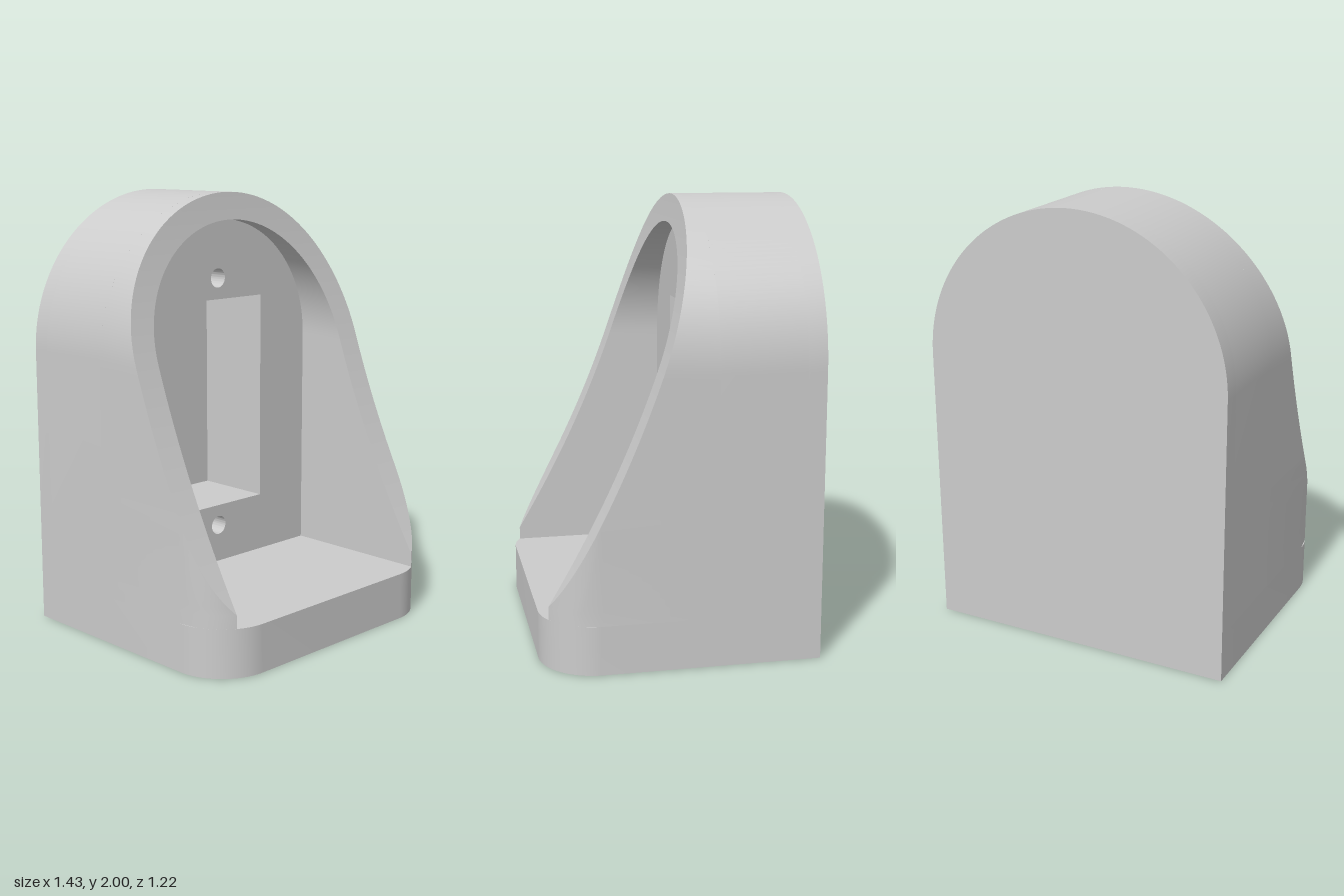
import * as THREE from 'three';
import { toCreasedNormals } from 'three/addons/utils/BufferGeometryUtils.js';

const OUTER = 0.715, INNER = 0.59;        // half widths, also the arch radii
const ARCH_Y = 1.285, FLOOR_Y = 0.22;     // arch centre and recess floor
const BACK = -0.61, FRONT = 0.61;
const PANEL = -0.145, POCKET = -0.525;    // recess back panel and pocket bottom
const CORNER = 0.25;                      // rounded front corners in plan
const CX = OUTER - CORNER, CZ = FRONT - CORNER;

const material = new THREE.MeshStandardMaterial({ color: 0xcccccc });

// Swept front edge of the side walls, as seen from the side
const sweepZ = (y) => 0.577 - 0.509 * (y - 0.28) + 0.127 * (y - 0.28) * (y - 1.02);
// Front of the rounded plan corner at distance r from the middle
const cornerZ = (r) => CZ + Math.sqrt(Math.max(0, CORNER ** 2 - Math.max(0, r - CX) ** 2));

function addMesh(group, name, geometry) {
  const mesh = new THREE.Mesh(toCreasedNormals(geometry, 0.5), material);
  mesh.name = name;
  group.add(mesh);
}

function archShape() {
  const s = new THREE.Shape();
  s.moveTo(-OUTER, FLOOR_Y);
  s.lineTo(OUTER, FLOOR_Y);
  s.lineTo(OUTER, ARCH_Y);
  s.absarc(0, ARCH_Y, OUTER, 0, Math.PI, false);
  s.closePath();
  return s;
}

function slab(shape, z0, z1) {
  return new THREE.ExtrudeGeometry(shape, { depth: z1 - z0, bevelEnabled: false, curveSegments: 48 })
    .translate(0, 0, z0);
}

// Base block: plan outline with rounded front corners, extruded upwards
function baseGeometry() {
  const s = new THREE.Shape();
  s.moveTo(-OUTER, -BACK);
  s.lineTo(-OUTER, -CZ);
  s.absarc(-CX, -CZ, CORNER, Math.PI, Math.PI * 1.5, false);
  s.absarc(CX, -CZ, CORNER, Math.PI * 1.5, Math.PI * 2, false);
  s.lineTo(OUTER, -BACK);
  s.closePath();
  return new THREE.ExtrudeGeometry(s, { depth: FLOOR_Y, bevelEnabled: false, curveSegments: 20 })
    .rotateX(-Math.PI / 2);
}

// Hood: wall cross-sections carried up one side, over the arch and down the other
function hoodGeometry() {
  const stations = [];                    // centre height and outward direction
  const heights = [FLOOR_Y, 0.28];
  for (let i = 1; i <= 28; i++) heights.push(0.28 + (ARCH_Y - 0.28) * i / 28);
  heights.forEach((y) => stations.push([y, 1, 0]));
  for (let i = 1; i < 64; i++) {
    const a = Math.PI * i / 64;
    stations.push([ARCH_Y, Math.cos(a), Math.sin(a)]);
  }
  heights.reverse().forEach((y) => stations.push([y, -1, 0]));

  const HALF = 8;
  const rings = stations.map(([cy, dx, dy]) => {
    const at = (r, z) => new THREE.Vector3(r * dx, cy + r * dy, z);
    const front = (r) => at(r, Math.min(sweepZ(cy + r * dy), cornerZ(r)));
    // Where the sweep meets the rounded corner, so the crease stays crisp
    const dz = Math.max(0, sweepZ(cy) - CZ);
    const crease = Math.max(INNER, CX + Math.sqrt(Math.max(0, CORNER ** 2 - dz ** 2)));
    const ring = [at(INNER, PANEL)];
    for (let k = 0; k <= HALF; k++) ring.push(front(INNER + (crease - INNER) * k / HALF));
    for (let k = 1; k <= HALF; k++) ring.push(front(crease + (OUTER - crease) * k / HALF));
    ring.push(at(OUTER, PANEL));
    return ring;
  });

  const points = [];
  const tri = (a, b, c) => {
    if (new THREE.Triangle(a, b, c).getArea() > 1e-8) points.push(a, b, c);
  };
  for (let i = 0; i < rings.length - 1; i++) {
    const p = rings[i], q = rings[i + 1];
    for (let j = 0; j < p.length - 1; j++) {
      tri(p[j], p[j + 1], q[j]);
      tri(p[j + 1], q[j + 1], q[j]);
    }
  }
  return new THREE.BufferGeometry().setFromPoints(points);
}

export function createModel() {
  const model = new THREE.Group();
  model.name = 'archedHousing';

  addMesh(model, 'base', baseGeometry());
  addMesh(model, 'hood', hoodGeometry());
  addMesh(model, 'backPlate', slab(archShape(), BACK, POCKET));

  // Mounting panel with a rectangular pocket and two screw holes
  const panel = archShape();
  const pocket = new THREE.Path();
  pocket.moveTo(-0.285, 0.5);
  pocket.lineTo(-0.285, 1.5);
  pocket.lineTo(0.285, 1.5);
  pocket.lineTo(0.285, 0.5);
  pocket.closePath();
  panel.holes.push(pocket);
  for (const y of [0.4, 1.6]) {
    panel.holes.push(new THREE.Path().absarc(0, y, 0.045, 0, Math.PI * 2, true));
  }
  addMesh(model, 'mountingPanel', slab(panel, POCKET, PANEL));

  return model;
}
